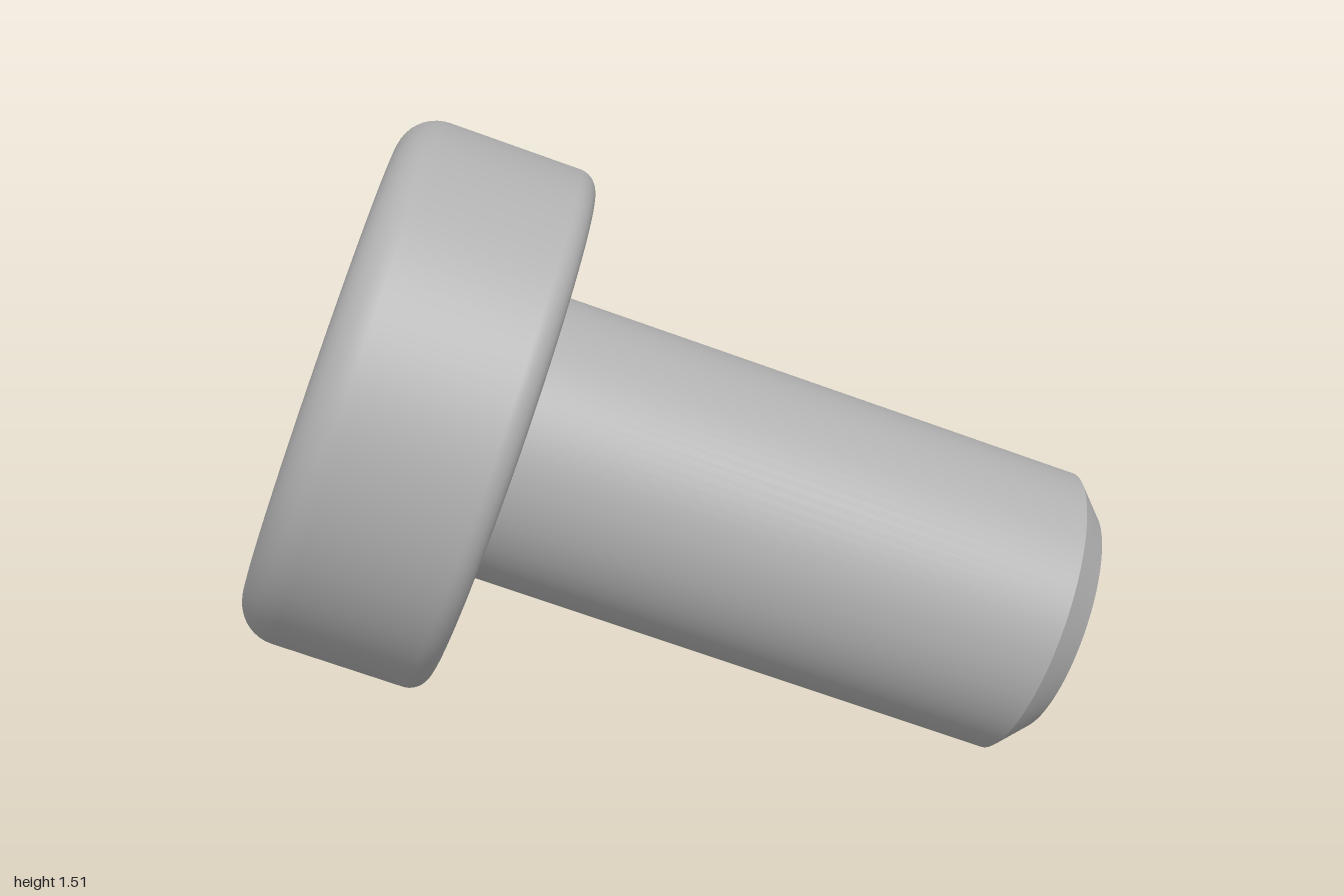
import * as THREE from 'three';
import { toCreasedNormals } from 'three/addons/utils/BufferGeometryUtils.js';

const SEG = 96;
const SHAFT_R = 0.348, SHAFT_L = 1.385, TIP = 0.072;
const HEAD_R = 0.64, HEAD_H = 0.468, TOP_FILLET = 0.1, UNDER_FILLET = 0.05;
const RIM = 0.03; // bevel around the drive recess

const lobeRadius = (a, grow) => 0.28 + grow + 0.05 * Math.cos(6 * a);

// Quarter-circle fillet points around (cx, cy)
function arc(cx, cy, r, from, to, n = 10) {
  return Array.from({ length: n + 1 }, (_, i) => {
    const a = from + (to - from) * i / n;
    return new THREE.Vector2(cx + r * Math.cos(a), cy + r * Math.sin(a));
  });
}

const ringPoints = (radius) => Array.from({ length: SEG }, (_, i) => {
  const a = i / SEG * Math.PI * 2, r = radius(a);
  return new THREE.Vector2(r * Math.cos(a), r * Math.sin(a));
});

// Six-lobed socket: bevel, straight wall and shallow conical floor
function recessGeometry() {
  const rows = [
    { grow: RIM, y: () => HEAD_H },
    { grow: 0, y: () => HEAD_H - RIM },
    { grow: 0, y: (r) => HEAD_H - 0.38 + 0.27 * r },
  ];
  const pos = [], index = [];
  for (const row of rows) {
    for (let i = 0; i < SEG; i++) {
      const a = i / SEG * Math.PI * 2, r = lobeRadius(a, row.grow);
      pos.push(r * Math.cos(a), row.y(r), r * Math.sin(a));
    }
  }
  pos.push(0, HEAD_H - 0.38, 0);
  for (let i = 0; i < SEG; i++) {
    const j = (i + 1) % SEG;
    for (let k = 0; k < 2; k++) {
      const a = k * SEG + i, b = k * SEG + j;
      index.push(a, a + SEG, b, b, a + SEG, b + SEG);
    }
    index.push(2 * SEG + i, 3 * SEG, 2 * SEG + j);
  }
  const g = new THREE.BufferGeometry();
  g.setAttribute('position', new THREE.Float32BufferAttribute(pos, 3));
  g.setIndex(index);
  return toCreasedNormals(g, 0.6);
}

export function createModel() {
  const steel = new THREE.MeshStandardMaterial({ color: 0xb0b0b0 });
  steel.name = 'grey steel';
  const screw = new THREE.Group();
  screw.name = 'screw';
  const add = (name, geometry) => {
    const mesh = new THREE.Mesh(geometry, steel);
    mesh.name = name;
    screw.add(mesh);
    return mesh;
  };

  // Shaft with chamfered tip
  add('shaft', new THREE.CylinderGeometry(SHAFT_R, SHAFT_R, SHAFT_L - TIP, SEG, 1, true))
    .position.y = -(SHAFT_L - TIP) / 2;
  add('tipChamfer', new THREE.CylinderGeometry(SHAFT_R, SHAFT_R - TIP, TIP, SEG, 1, true))
    .position.y = -SHAFT_L + TIP / 2;
  const tip = add('tipFace', new THREE.CircleGeometry(SHAFT_R - TIP, SEG));
  tip.rotation.x = Math.PI / 2;
  tip.position.y = -SHAFT_L;

  // Head underside, rounded side wall and top face
  const under = add('headUnderside', new THREE.RingGeometry(SHAFT_R, HEAD_R - UNDER_FILLET, SEG));
  under.rotation.x = Math.PI / 2;
  add('headSide', new THREE.LatheGeometry([
    ...arc(HEAD_R - UNDER_FILLET, UNDER_FILLET, UNDER_FILLET, -Math.PI / 2, 0),
    ...arc(HEAD_R - TOP_FILLET, HEAD_H - TOP_FILLET, TOP_FILLET, 0, Math.PI / 2),
  ], SEG));
  const face = new THREE.Shape(ringPoints(() => HEAD_R - TOP_FILLET));
  face.holes.push(new THREE.Path(ringPoints((a) => lobeRadius(a, RIM))));
  const top = add('headTop', new THREE.ShapeGeometry(face));
  top.rotation.x = -Math.PI / 2;
  top.position.y = HEAD_H;

  add('driveRecess', recessGeometry());

  // Tilt the screw: local y runs from tip to head, local x points to one lobe
  const axis = new THREE.Vector3(-0.81, 0.339, -0.478).normalize();
  const side = new THREE.Vector3(0.247, 0.937, 0.247);
  side.addScaledVector(axis, -side.dot(axis)).normalize();
  const third = new THREE.Vector3().crossVectors(side, axis);
  screw.quaternion.setFromRotationMatrix(new THREE.Matrix4().makeBasis(side, axis, third));
  screw.position.set(-0.288, 0.775, -0.079);

  const model = new THREE.Group();
  model.name = 'model';
  model.add(screw);
  return model;
}
